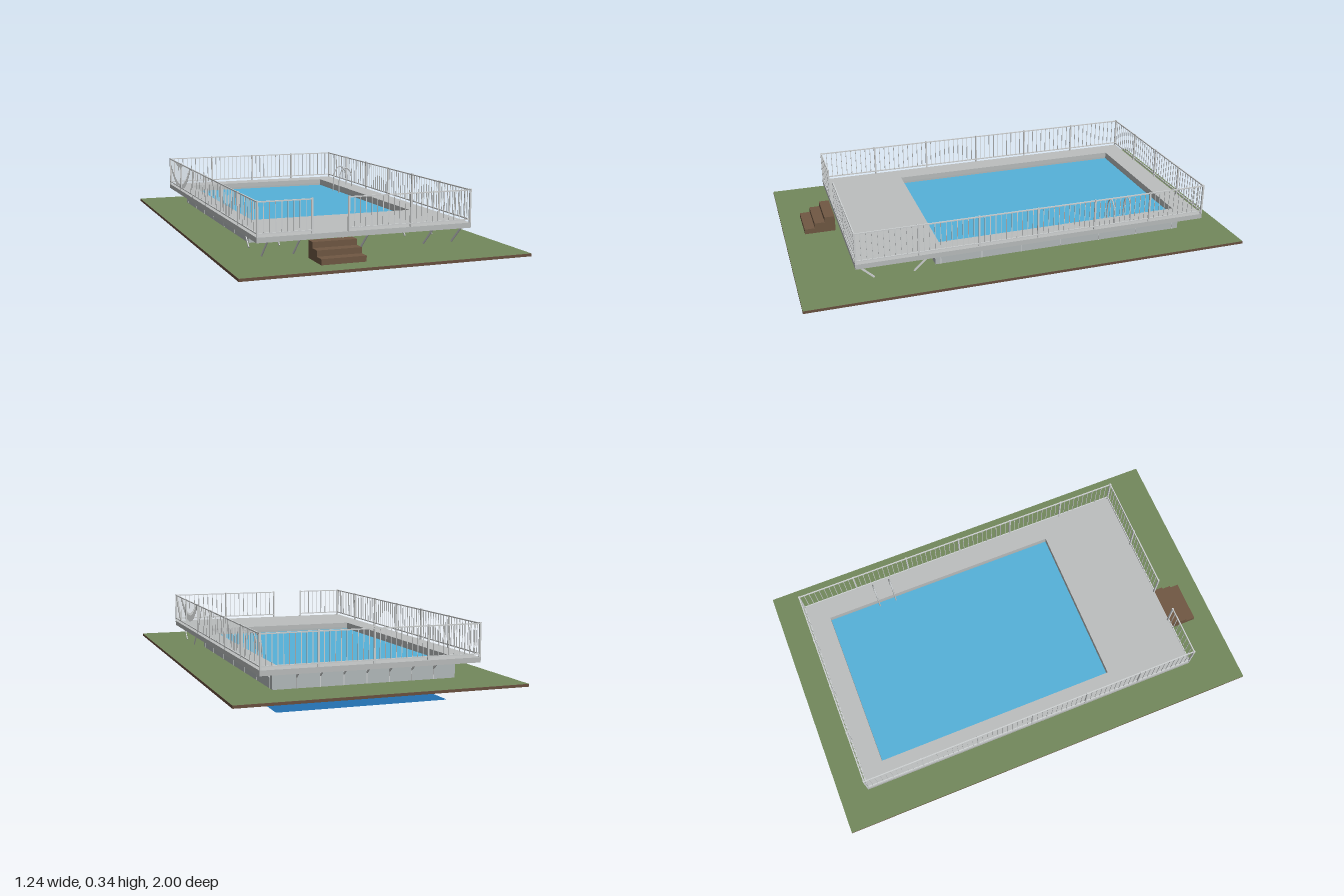
import * as THREE from 'three';
import { mergeGeometries } from 'three/addons/utils/BufferGeometryUtils.js';

const material = (name, color, side = THREE.FrontSide) => {
  const m = new THREE.MeshStandardMaterial({ color, side });
  m.name = name;
  return m;
};

// Pool opening
const POOL = { x: 0.378, z0: -0.758, z1: 0.376 };
const GROUND = 0.097, DECK_LOW = 0.17, DECK_TOP = 0.192;

// Rectangle with the pool cut out; shape y is -z
function ringShape(x, z0, z1) {
  const rect = (path, hx, a, b) => path.moveTo(-hx, -b).lineTo(hx, -b).lineTo(hx, -a).lineTo(-hx, -a).closePath();
  const shape = new THREE.Shape();
  rect(shape, x, z0, z1);
  const hole = new THREE.Path();
  rect(hole, POOL.x, POOL.z0, POOL.z1);
  shape.holes.push(hole);
  return shape;
}

const slab = (shape, y, depth) =>
  new THREE.ExtrudeGeometry(shape, { depth, bevelEnabled: false }).rotateX(-Math.PI / 2).translate(0, y, 0);

// Box given by its lower and upper corners
const box = (x0, x1, y0, y1, z0, z1) =>
  new THREE.BoxGeometry(x1 - x0, y1 - y0, z1 - z0).translate((x0 + x1) / 2, (y0 + y1) / 2, (z0 + z1) / 2);

// Bar between two points, with its thickness along x and z
function bar(a, b, tx, tz = tx) {
  const p = new THREE.Vector3(...a), q = new THREE.Vector3(...b);
  const d = q.clone().sub(p);
  const turn = new THREE.Quaternion().setFromUnitVectors(new THREE.Vector3(0, 1, 0), d.clone().normalize());
  const mid = p.add(q).multiplyScalar(0.5);
  return new THREE.BoxGeometry(tx, d.length(), tz).applyQuaternion(turn).translate(mid.x, mid.y, mid.z);
}

export function createModel() {
  const group = new THREE.Group();
  const grass = material('grass green', 0x73885c);
  const soil = material('soil brown', 0x6a5140);
  const wood = material('wood brown', 0x705843);
  const deckGrey = material('deck grey', 0xbcbfbf);
  const wallGrey = material('wall grey', 0xb5bcbd);
  const railGrey = material('rail grey', 0xd0d3d4);
  const steel = material('steel', 0xc6cacc);
  const waterBlue = material('water blue', 0x56b2da, THREE.DoubleSide);
  const floorBlue = material('floor blue', 0x2470b0, THREE.DoubleSide);

  const add = (name, parts, mat) => {
    const mesh = new THREE.Mesh(Array.isArray(parts) ? mergeGeometries(parts) : parts, mat);
    mesh.name = name;
    group.add(mesh);
  };

  // Lawn on a thin layer of soil
  const groundShape = ringShape(0.618, -1, 1);
  add('soil', slab(groundShape, 0.085, GROUND - 0.0855), soil);
  add('lawn', new THREE.ShapeGeometry(groundShape).rotateX(-Math.PI / 2).translate(0, GROUND, 0), grass);

  // Pool floor and water
  const midZ = (POOL.z0 + POOL.z1) / 2, lenZ = POOL.z1 - POOL.z0;
  const sheet = y => new THREE.PlaneGeometry(POOL.x * 2, lenZ).rotateX(-Math.PI / 2).translate(0, y, midZ);
  add('poolFloor', sheet(0), floorBlue);
  add('water', sheet(0.16), waterBlue);

  // Pool wall between lawn and deck
  const zBack = -0.78, zFront = 0.4, xWall = 0.4;
  add('poolWall', slab(ringShape(xWall, zBack, zFront), GROUND, DECK_LOW - GROUND), wallGrey);

  // Wall ribs, side brackets and slanted deck struts
  const ribs = [], struts = [];
  for (let i = 0; i < 7; i++) {
    const z = 0.375 - 0.1875 * i, x = -0.3 + 0.1 * i;
    for (const s of [-1, 1]) {
      ribs.push(box(s * xWall - 0.002, s * xWall + 0.002, GROUND, DECK_LOW, z - 0.0015, z + 0.0015));
      struts.push(bar([s * 0.398, 0.143, z], [s * 0.432, 0.172, z], 0.007, 0.004));
    }
    ribs.push(box(x - 0.0015, x + 0.0015, GROUND, DECK_LOW, zBack - 0.002, zBack));
    ribs.push(box(x - 0.0015, x + 0.0015, GROUND, DECK_LOW, zFront, zFront + 0.002));
    struts.push(bar([x, 0.143, zBack], [x, 0.174, -0.82], 0.004, 0.007));
  }
  for (const x of [-0.43, -0.295, 0, 0.295, 0.43]) {
    struts.push(bar([x, 0.174, 0.757], [x, 0.098, 0.675], 0.004, 0.008));
    struts.push(bar([x, 0.098, 0.502], [x, 0.174, 0.42], 0.004, 0.008));
  }
  add('wallRibs', ribs, railGrey);
  add('deckStruts', struts, railGrey);

  // Deck around the pool
  add('deck', slab(ringShape(0.475, -0.86, 0.76), DECK_LOW, DECK_TOP - DECK_LOW), deckGrey);

  // Three front steps
  const steps = [];
  for (let i = 0; i < 3; i++) {
    const z = 0.905 - i * 0.0475;
    steps.push(box(-0.262, -0.072, GROUND, 0.121 + i * 0.0243, z - 0.0475, z));
  }
  add('steps', steps, wood);

  // Railing runs: start, end and number of sections
  const posts = [], rails = [], balusters = [];
  const X = 0.471, ZB = -0.856, ZF = 0.756;
  const runs = [
    [-X, ZB, X, ZB, 4], [-X, ZB, -X, ZF, 6], [X, ZB, X, ZF, 6],
    [-X, ZF, -0.243, ZF, 1], [-0.085, ZF, X, ZF, 2],
  ];
  for (const [x0, z0, x1, z1, sections] of runs) {
    for (const y of [0.206, 0.332]) rails.push(bar([x0, y, z0], [x1, y, z1], 0.005));
    const length = Math.hypot(x1 - x0, z1 - z0);
    const gaps = Math.round(length / sections / 0.0245);
    for (let i = 0; i <= sections * gaps; i++) {
      const t = i / (sections * gaps);
      const x = x0 + (x1 - x0) * t, z = z0 + (z1 - z0) * t;
      if (i % gaps === 0) posts.push(bar([x, 0.173, z], [x, 0.337, z], 0.0075));
      else balusters.push(bar([x, 0.206, z], [x, 0.332, z], 0.0028));
    }
  }
  add('railingPosts', posts, railGrey);
  add('railingRails', rails, railGrey);
  add('railingBalusters', balusters, railGrey);

  // Pool ladder: two hooped handrails and rungs
  const ladder = [];
  for (const z of [-0.43, -0.512]) {
    const path = new THREE.CatmullRomCurve3([
      [0.436, 0.19], [0.435, 0.235], [0.427, 0.272], [0.4, 0.295], [0.373, 0.272], [0.364, 0.235],
      [0.361, 0.19], [0.36, 0.12], [0.36, 0.06], [0.363, 0.035], [0.374, 0.022],
    ].map(([x, y]) => new THREE.Vector3(x, y, z)));
    ladder.push(new THREE.TubeGeometry(path, 48, 0.0031, 8));
  }
  for (const y of [0.067, 0.11, 0.15]) ladder.push(box(0.352, 0.368, y - 0.002, y + 0.002, -0.512, -0.43));
  add('ladder', ladder, steel);

  return group;
}
